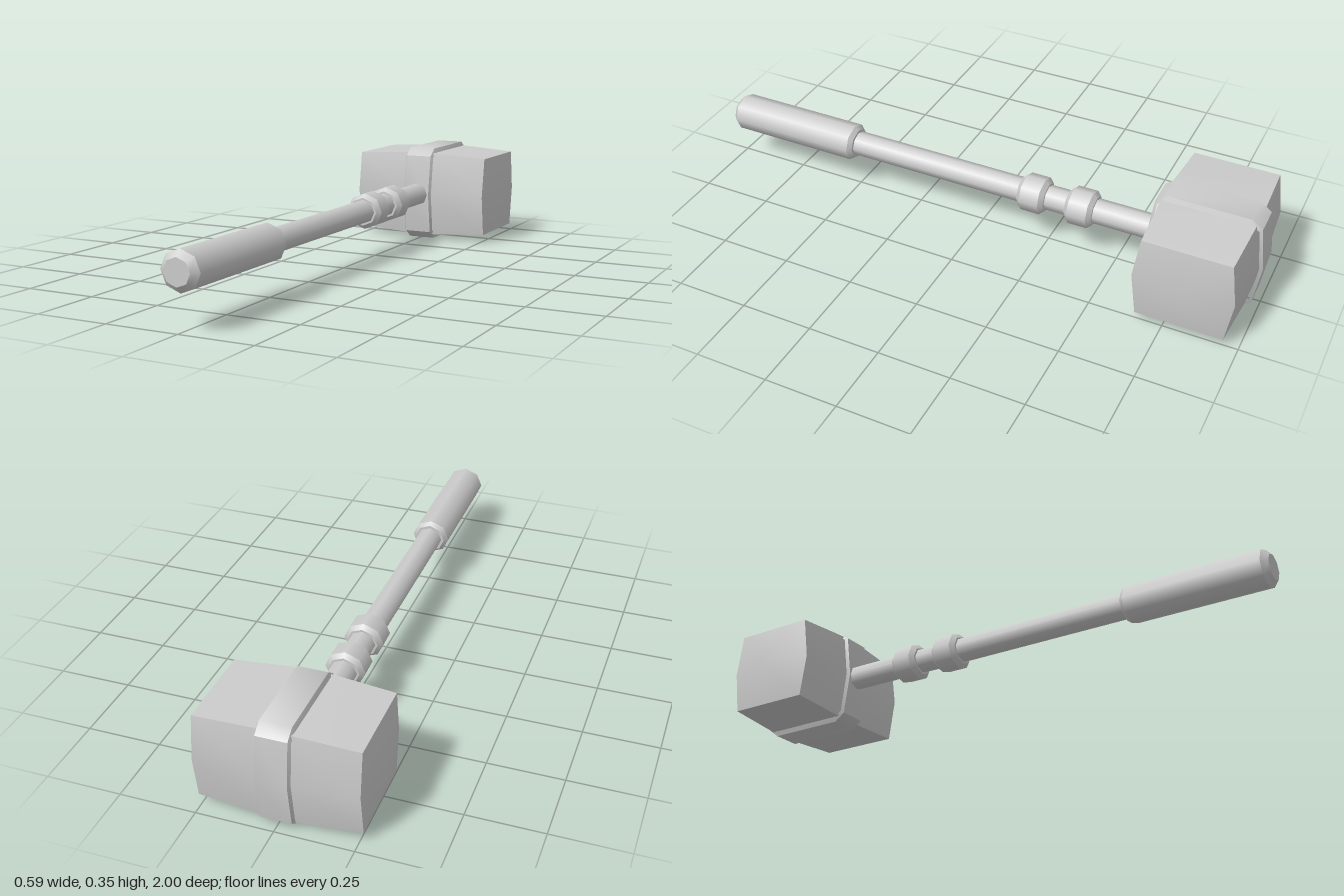
import * as THREE from 'three';
import { toCreasedNormals } from 'three/addons/utils/BufferGeometryUtils.js';

const material = new THREE.MeshStandardMaterial({ color: 0xcccccc });
const CENTER_Y = 0.176;
const HEAD_Z = -0.805;

// Mirrors a quarter outline of [y, z] points (top to middle) into a closed ring.
function ring(x, quarter) {
  const n = quarter.length;
  const front = [...quarter, ...quarter.slice(0, n - 1).reverse().map(([y, z]) => [-y, z])];
  const back = front.map(([y, z]) => [y, -z]).reverse();
  return [...front, ...back].map(([y, z]) => new THREE.Vector3(x, y, z));
}

// Skins rings that run from -x to +x, keeping edges sharper than the crease angle.
function loft(rings, crease) {
  const points = [];
  for (let i = 0; i < rings.length - 1; i++) {
    const n = rings[i].length;
    for (let j = 0; j < n; j++) {
      const k = (j + 1) % n;
      const [a, b, c, d] = [rings[i][j], rings[i][k], rings[i + 1][k], rings[i + 1][j]];
      points.push(a, b, c, a, c, d);
    }
  }
  return toCreasedNormals(new THREE.BufferGeometry().setFromPoints(points), crease);
}

function addPart(group, name, geometry, z = 0) {
  const mesh = new THREE.Mesh(geometry, material);
  mesh.name = name;
  mesh.position.set(0, CENTER_Y, z);
  group.add(mesh);
}

// Eight-sided turned part along z; doubled points keep the profile edges sharp.
function turned(profile) {
  const points = profile.flatMap(([r, z]) => [new THREE.Vector2(r, z), new THREE.Vector2(r, z)]);
  return new THREE.LatheGeometry(points.slice(1, -1), 8).rotateX(Math.PI / 2).scale(1, 0.945, 1);
}

export function createModel() {
  const group = new THREE.Group();
  group.name = 'hammer';

  // Head: bulging hexagonal block with shallow pointed striking faces
  const tip = [[0, 0], [0, 0]];
  const end = [[0.146, 0.146], [0, 0.167]];
  const middle = [[0.159, 0.155], [0, 0.182]];
  addPart(group, 'head', loft([
    ring(-0.295, tip), ring(-0.26, end), ring(-0.055, middle),
    ring(0.055, middle), ring(0.26, end), ring(0.295, tip),
  ], 0.6), HEAD_Z);

  // Band: chamfered strap around the middle of the head
  const inner = [[0.160, 0.135], [0.142, 0.166], [0, 0.184]];
  const outer = [[0.176, 0.139], [0.148, 0.175], [0, 0.195]];
  addPart(group, 'headBand', loft([
    ring(-0.057, inner), ring(-0.05, outer), ring(0.05, outer), ring(0.057, inner),
  ], 0.75), HEAD_Z);

  // Shaft
  addPart(group, 'shaft', turned([[0, -0.7], [0.045, -0.7], [0.045, 0.6], [0, 0.6]]));

  // Collars near the head
  for (const z of [-0.369, -0.196]) {
    addPart(group, 'collar', turned([
      [0, -0.049], [0.053, -0.049], [0.068, -0.034],
      [0.068, 0.034], [0.053, 0.049], [0, 0.049],
    ]), z);
  }

  // Grip with chamfered ends
  addPart(group, 'grip', turned([
    [0, 0.496], [0.055, 0.496], [0.068, 0.511],
    [0.068, 0.98], [0.046, 1], [0, 1],
  ]));

  return group;
}
